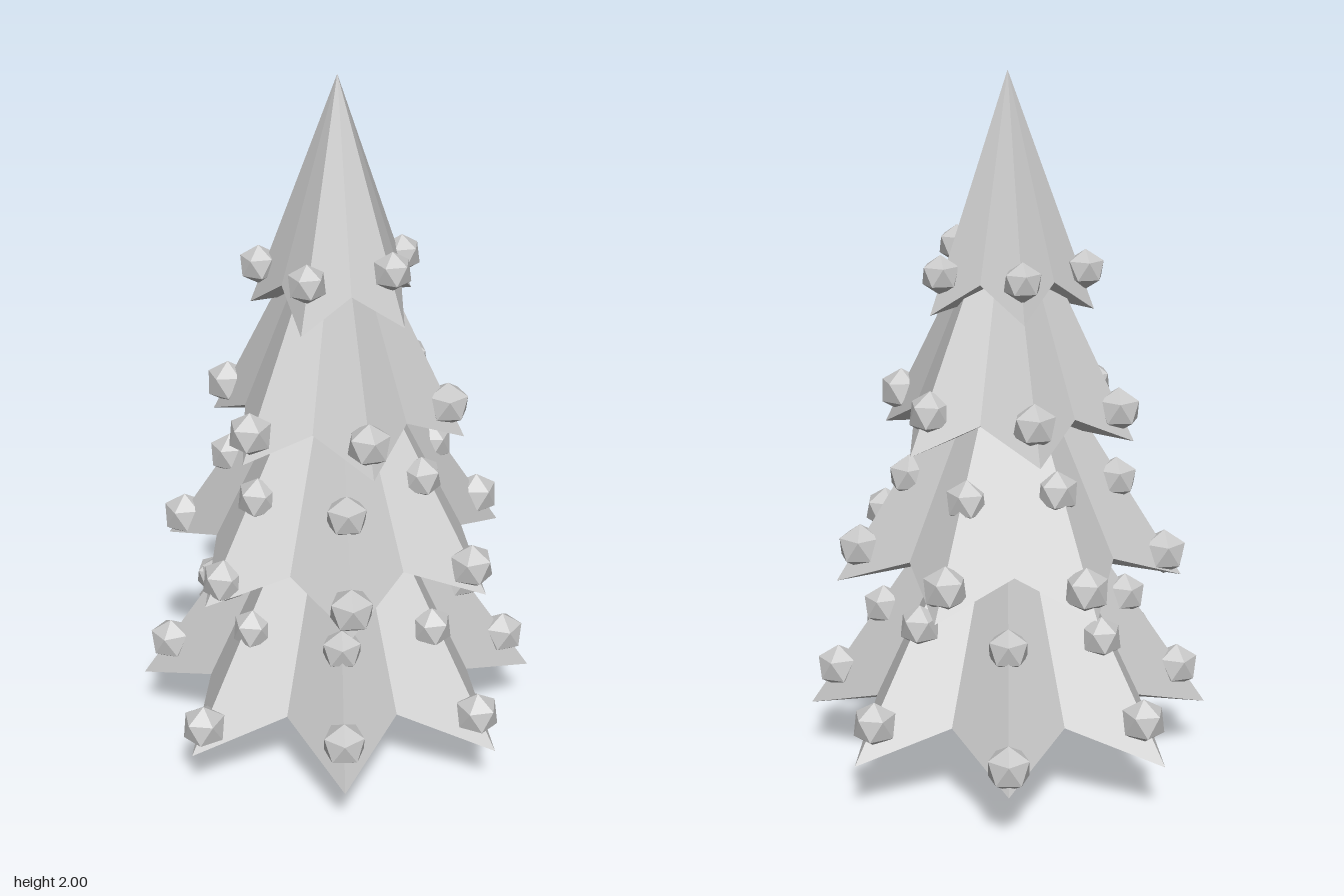
import * as THREE from 'three';

const RAD = Math.PI / 180;

// Star-shaped cone: ridges run to low tips, grooves to higher valleys, closed underneath
function starCone({ points, start, apex, tipR, tipY, valleyR, valleyY }) {
  const rim = [];
  for (let i = 0; i < points * 2; i++) {
    const a = start * RAD + (i * Math.PI) / points;
    const r = i % 2 ? valleyR : tipR[(i / 2) % tipR.length];
    rim.push([Math.cos(a) * r, i % 2 ? valleyY : tipY, Math.sin(a) * r]);
  }
  const top = [0, apex, 0];
  const under = [0, (tipY + valleyY) / 2, 0];
  const pos = [];
  rim.forEach((p, i) => {
    const next = rim[(i + 1) % rim.length];
    pos.push(...top, ...next, ...p, ...under, ...p, ...next);
  });
  const geo = new THREE.BufferGeometry();
  geo.setAttribute('position', new THREE.Float32BufferAttribute(pos, 3));
  geo.computeVertexNormals();
  return geo;
}

// Foliage tiers; each ornament row lists its size plus radius and height per ridge
const TIERS = [
  {
    points: 8, start: 15.5, apex: 1.03, tipY: 0.158, valleyR: 0.405, valleyY: 0.25,
    tipR: [0.577, 0.61, 0.61, 0.6, 0.58, 0.607, 0.605, 0.595],
    rows: [
      { size: 0.065, r: [0.495, 0.54, 0.53, 0.55, 0.495, 0.525, 0.555, 0.52], y: [0.275, 0.255, 0.268, 0.235, 0.275, 0.27, 0.22, 0.26] },
      { size: 0.061, r: [0.36, 0.365, 0.36, 0.35, 0.34, 0.365, 0.355, 0.345], y: [0.465, 0.467, 0.465, 0.465, 0.5, 0.47, 0.475, 0.5] },
    ],
  },
  {
    points: 7, start: 0, apex: 1.38, tipR: [0.5], tipY: 0.592, valleyR: 0.36, valleyY: 0.685,
    rows: [
      { size: 0.066, r: [0.43, 0.45, 0.465, 0.43, 0.45, 0.44, 0.43], y: [0.688, 0.67, 0.658, 0.648, 0.658, 0.66, 0.668] },
      { size: 0.062, r: [0.285, 0.28, 0.31, 0.3, 0.31, 0.28, 0.285], y: [0.885, 0.9, 0.86, 0.86, 0.87, 0.89, 0.87] },
    ],
  },
  {
    points: 6, start: 32, apex: 1.73, tipR: [0.365], tipY: 0.992, valleyR: 0.265, valleyY: 1.08,
    rows: [{ size: 0.064, r: [0.315, 0.315, 0.335, 0.32, 0.3, 0.29], y: [1.088, 1.075, 1.075, 1.08, 1.09, 1.1] }],
  },
  {
    points: 5, start: 59, apex: 2.0, tipR: [0.24], tipY: 1.352, valleyR: 0.173, valleyY: 1.445,
    rows: [{ size: 0.056, r: [0.195, 0.2, 0.215, 0.212, 0.207], y: [1.502, 1.488, 1.463, 1.463, 1.461] }],
  },
];

export function createModel() {
  const model = new THREE.Group();
  model.name = 'decoratedTree';
  const grey = new THREE.MeshStandardMaterial({ color: 0xc8c8c8, flatShading: true });
  grey.name = 'lightGrey';

  const add = (name, geo, parent) => {
    const mesh = new THREE.Mesh(geo, grey);
    mesh.name = name;
    parent.add(mesh);
    return mesh;
  };

  // Six-sided tapering trunk
  const trunk = add('trunk', new THREE.CylinderGeometry(0.066, 0.085, 0.24, 6), model);
  trunk.position.y = 0.12;

  // Faceted bauble with a corner pointing up
  const bauble = new THREE.IcosahedronGeometry(1, 0);
  bauble.rotateX(-Math.atan((1 + Math.sqrt(5)) / 2));

  TIERS.forEach((tier, t) => {
    add(`foliageTier${t + 1}`, starCone(tier), model);

    // Ornaments sit along the ridges of the tier
    const ornaments = new THREE.Group();
    ornaments.name = `ornamentsTier${t + 1}`;
    model.add(ornaments);
    for (const { size, r, y } of tier.rows) {
      for (let i = 0; i < tier.points; i++) {
        const a = tier.start * RAD + (i * 2 * Math.PI) / tier.points;
        const ball = add('ornament', bauble, ornaments);
        ball.position.set(Math.cos(a) * r[i], y[i], Math.sin(a) * r[i]);
        ball.rotation.y = Math.PI / 2 - a;
        ball.scale.setScalar(size);
      }
    }
  });
  return model;
}
